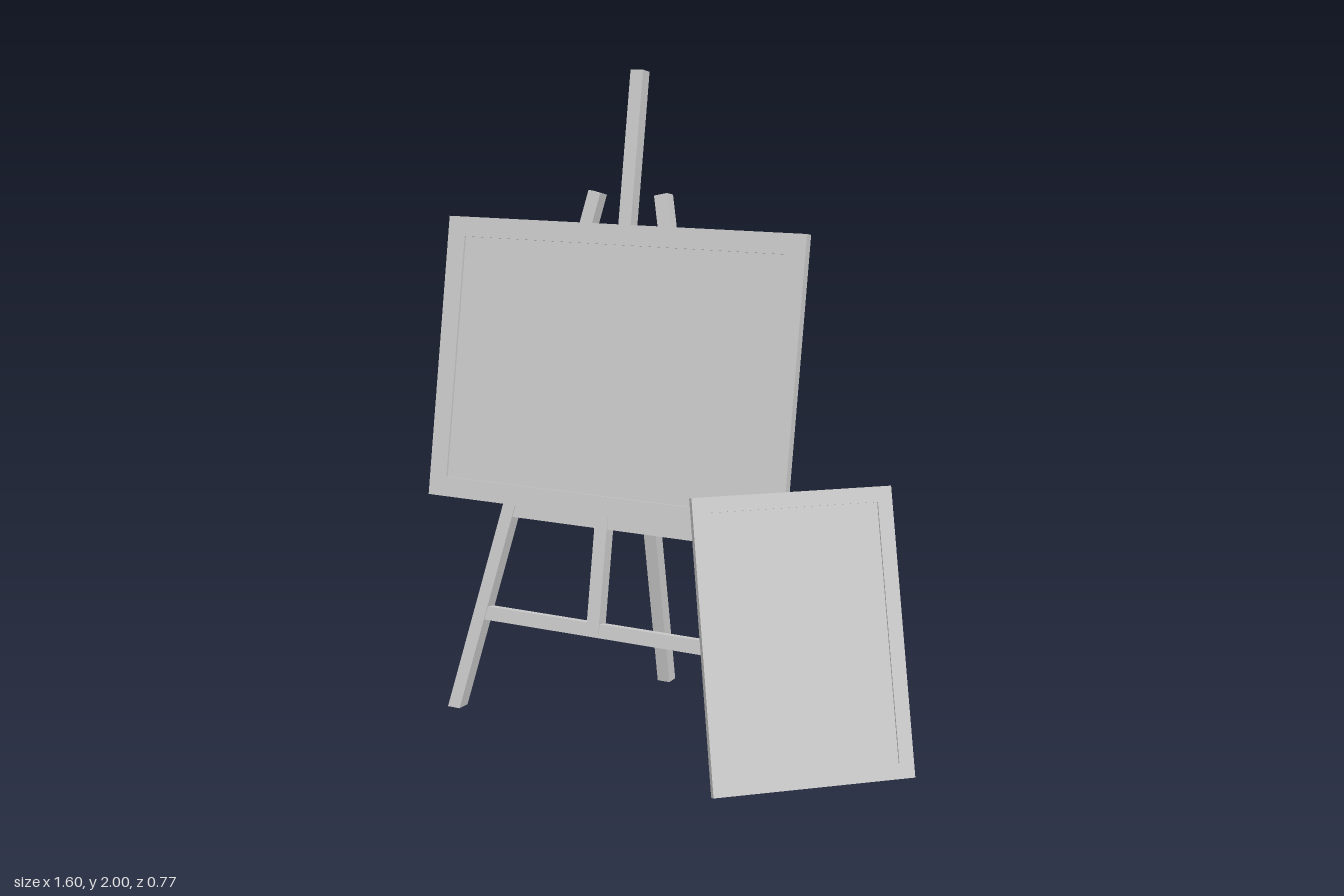
import * as THREE from 'three';

const material = new THREE.MeshStandardMaterial({ color: 0xcccccc });
const LEAN = THREE.MathUtils.degToRad(10);
const WOOD = 0.043;

function addMesh(parent, name, geometry) {
  const mesh = new THREE.Mesh(geometry, material);
  mesh.name = name;
  parent.add(mesh);
  return mesh;
}

// Point in the leaning plane of the easel, at height y and distance d behind it
const onEasel = (x, y, d = 0.053) => new THREE.Vector3(x, y, -d - y * Math.tan(LEAN));

// Square bar from a (bottom) to b (top); flatFoot cuts the lower end level with the ground
function bar(parent, name, a, b, width = WOOD, depth = WOOD, flatFoot = false) {
  const dir = b.clone().sub(a);
  const geometry = new THREE.BoxGeometry(width, dir.length(), depth);
  dir.normalize();
  const front = new THREE.Vector3(0, Math.sin(LEAN), Math.cos(LEAN));
  front.addScaledVector(dir, -front.dot(dir)).normalize();
  const side = dir.clone().cross(front);
  const matrix = new THREE.Matrix4().makeBasis(side, dir, front);
  matrix.setPosition(a.clone().add(b).multiplyScalar(0.5));
  const lower = Array.from({ length: 24 }, (_, i) => geometry.attributes.position.getY(i) < 0);
  geometry.applyMatrix4(matrix);
  if (flatFoot) {
    const pos = geometry.attributes.position;
    const v = new THREE.Vector3();
    lower.forEach((isLower, i) => {
      if (!isLower) return;
      v.fromBufferAttribute(pos, i);
      v.addScaledVector(dir, -v.y / dir.y);
      pos.setXYZ(i, v.x, v.y, v.z);
    });
    geometry.computeVertexNormals();
  }
  return addMesh(parent, name, geometry);
}

function rectangle(target, w, h) {
  target.moveTo(-w / 2, -h / 2);
  target.lineTo(w / 2, -h / 2);
  target.lineTo(w / 2, h / 2);
  target.lineTo(-w / 2, h / 2);
  target.closePath();
  return target;
}

// Frame with a panel recessed on both faces
function framedBoard(name, w, h, thickness, border, recess) {
  const group = new THREE.Group();
  group.name = name;
  const shape = rectangle(new THREE.Shape(), w, h);
  shape.holes.push(rectangle(new THREE.Path(), w - 2 * border, h - 2 * border));
  const frame = new THREE.ExtrudeGeometry(shape, { depth: thickness, bevelEnabled: false });
  frame.translate(0, 0, -thickness / 2);
  addMesh(group, 'frame', frame);
  addMesh(group, 'panel', new THREE.BoxGeometry(w - 2 * border, h - 2 * border, thickness - 2 * recess));
  group.rotation.order = 'YXZ';
  return group;
}

export function createModel() {
  const model = new THREE.Group();
  model.name = 'easelWithBoards';

  const easel = new THREE.Group();
  easel.name = 'easel';
  easel.position.set(-0.118, 0, 0.234);
  easel.rotation.y = 0.365;
  model.add(easel);

  // Splayed front legs
  const footX = 0.478, topX = 0.114, topY = 1.628;
  const legX = (y) => footX + (topX - footX) * (y / topY);
  for (const s of [1, -1]) {
    bar(easel, s > 0 ? 'leftLeg' : 'rightLeg', onEasel(s * footX, 0), onEasel(s * topX, topY), WOOD, WOOD, true);
  }

  // Crossbars between the legs
  const crossbars = { lowerCrossbar: 0.307, middleCrossbar: 0.637, upperCrossbar: 1.41 };
  for (const [name, y] of Object.entries(crossbars)) {
    bar(easel, name, onEasel(-legX(y), y), onEasel(legX(y), y), 0.043, 0.036);
  }

  // Central post, rear leg and the short brace joining them
  bar(easel, 'centrePost', onEasel(0, 0.3), onEasel(0, 1.996));
  bar(easel, 'rearLeg', new THREE.Vector3(0, 0, -0.582), new THREE.Vector3(0, 1.2, -0.36), WOOD, WOOD, true);
  bar(easel, 'rearBrace', new THREE.Vector3(0, 1.01, -0.395), new THREE.Vector3(0, 1.14, -0.255), 0.036, 0.036);

  // Large board resting on the easel
  const board = framedBoard('largeBoard', 1.23, 0.888, 0.031, 0.062, 0.008);
  board.position.copy(onEasel(0, 1.1, 0.0157));
  board.rotation.x = -LEAN;
  easel.add(board);

  // Small board standing on the ground, leaning against the easel
  const small = framedBoard('smallBoard', 0.604, 0.842, 0.025, 0.045, 0.006);
  small.position.set(0.5425, 0.407, -0.057);
  small.rotation.set(-0.29, 1.1, 0);
  model.add(small);

  return model;
}
